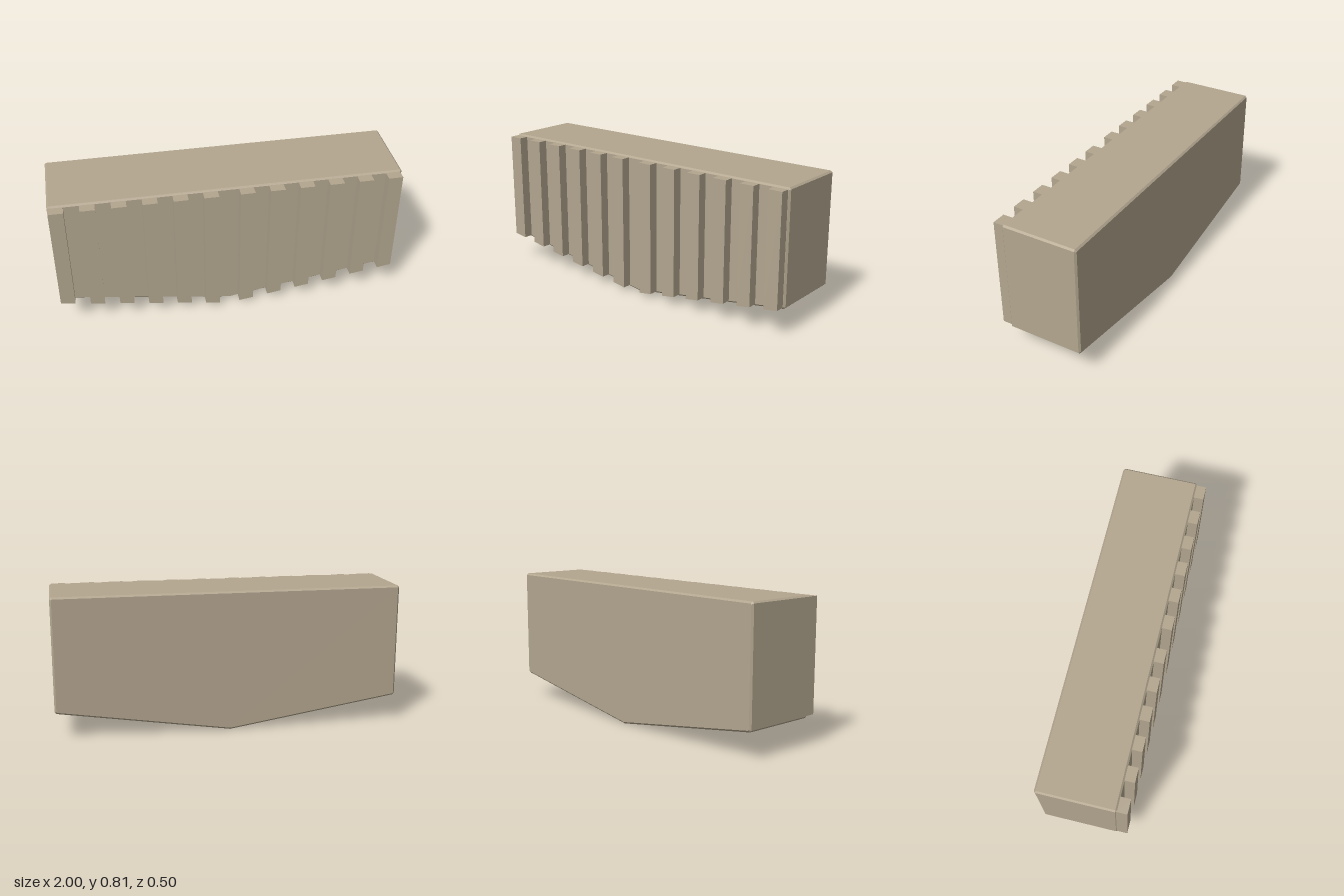
import * as THREE from 'three';

const stone = new THREE.MeshStandardMaterial({ color: 0xb3a68f });
stone.name = 'sandstone';

// Extrude an outline along z from z0
function slab(name, points, z0, options) {
  const shape = new THREE.Shape(points.map(([x, y]) => new THREE.Vector2(x, y)));
  const geometry = new THREE.ExtrudeGeometry(shape, options);
  geometry.translate(0, 0, z0);
  const mesh = new THREE.Mesh(geometry, stone);
  mesh.name = name;
  return mesh;
}

export function createModel() {
  const group = new THREE.Group();
  group.name = 'ribbedBlock';

  // Main block: shallow V underside, all outer edges chamfered
  const c = 0.01;
  group.add(slab('body', [
    [0, 0], [1 - c, 0.153], [1, 0.163], [1, 0.806], [1 - c, 0.815],
    [-1 + c, 0.815], [-1, 0.806], [-1, 0.163], [-1 + c, 0.153],
  ], -0.24, {
    depth: 0.427, bevelEnabled: true, bevelSegments: 1,
    bevelThickness: c, bevelSize: c, bevelOffset: -c,
  }));

  // Vertical ribs on the front, their feet cut to follow the V
  const bottom = (x) => 0.011 + 0.154 * Math.abs(x);
  const starts = [];
  for (let i = 0; i < 6; i++) starts.push(-0.996 + i * 0.1695);
  for (let i = 0; i < 6; i++) starts.push(0.055 + i * 0.17);
  const top = 0.806, width = 0.083;
  starts.forEach((x0, i) => {
    const x1 = x0 + width;
    group.add(slab(`rib${i + 1}`, [
      [x0, bottom(x0)], [x1, bottom(x1)], [x1, top], [x0, top],
    ], 0.19, { depth: 0.063, bevelEnabled: false }));
  });

  return group;
}
